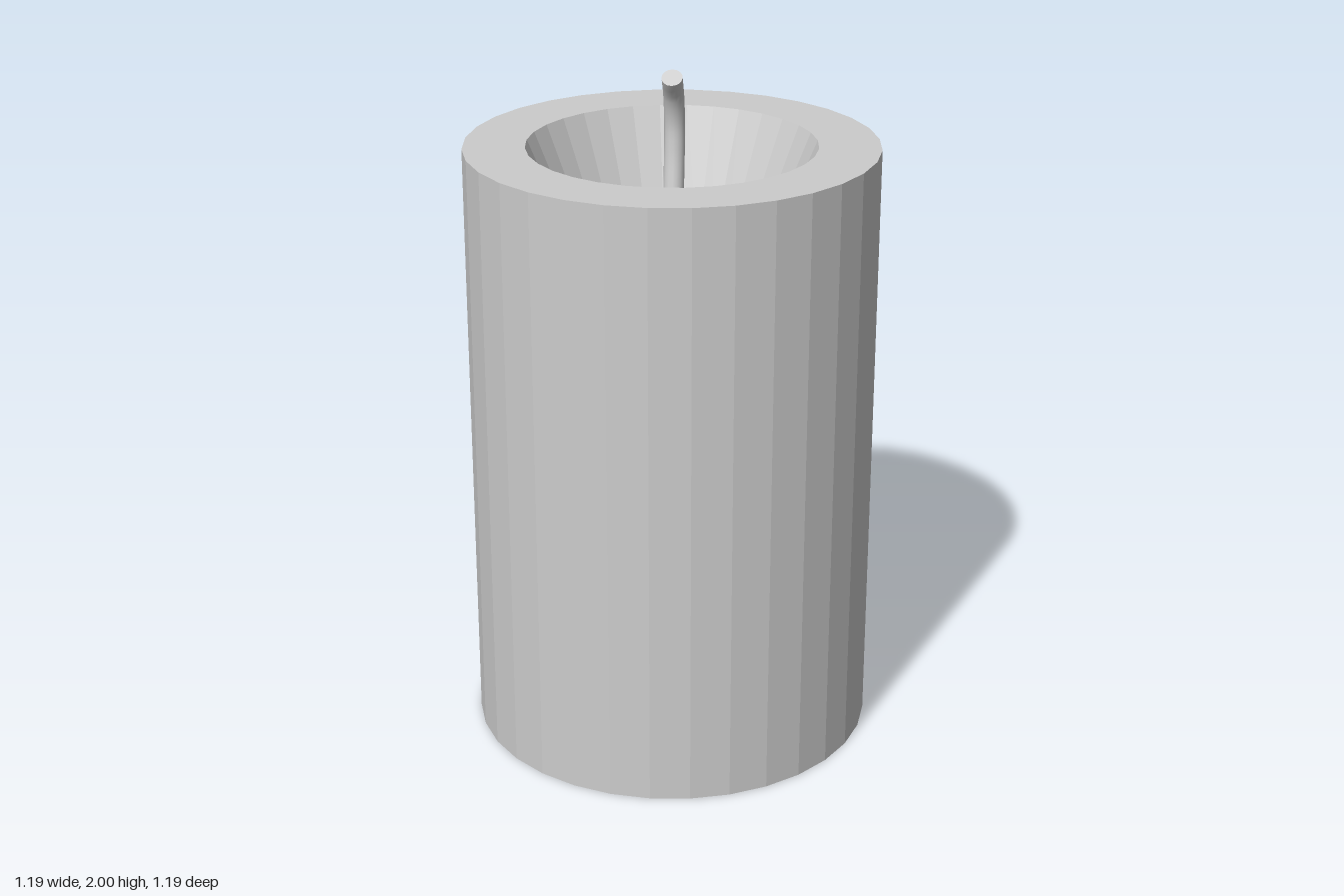
import * as THREE from 'three';

export function createModel() {
  const group = new THREE.Group();
  const wax = new THREE.MeshStandardMaterial({ color: 0xcccccc, flatShading: true, side: THREE.DoubleSide });
  wax.name = 'light grey wax';
  const cord = new THREE.MeshStandardMaterial({ color: 0xcccccc, side: THREE.DoubleSide });
  cord.name = 'light grey cord';

  const add = (name, geometry, material) => {
    const mesh = new THREE.Mesh(geometry, material);
    mesh.name = name;
    group.add(mesh);
    return mesh;
  };

  // Turned parts share the same 32 sides
  const turned = (name, points) =>
    add(name, new THREE.LatheGeometry(points.map(([r, y]) => new THREE.Vector2(r, y)), 32), wax);

  // Outer wall, open at the bottom
  turned('candleWall', [[0.595, 0], [0.595, 1.79]]);
  // Flat rim around the melted hollow
  turned('candleRim', [[0.595, 1.79], [0.417, 1.79]]);
  // Sloping hollow with a slightly dished floor
  turned('meltedHollow', [[0.417, 1.79], [0.25, 1.39], [0, 1.37]]);

  // Wick leans back, then curls forward at the tip
  const path = new THREE.CatmullRomCurve3(
    [[1.36, 0], [1.59, -0.032], [1.75, -0.063], [1.84, -0.067], [1.92, -0.044], [1.982, 0]]
      .map(([y, z]) => new THREE.Vector3(0, y, z)));
  add('wick', new THREE.TubeGeometry(path, 24, 0.03, 16), cord);

  // Flat cut end of the wick
  const tip = add('wickTip', new THREE.CircleGeometry(0.03, 16), cord);
  tip.position.copy(path.getPoint(1));
  tip.quaternion.setFromUnitVectors(new THREE.Vector3(0, 0, 1), path.getTangent(1));

  return group;
}
